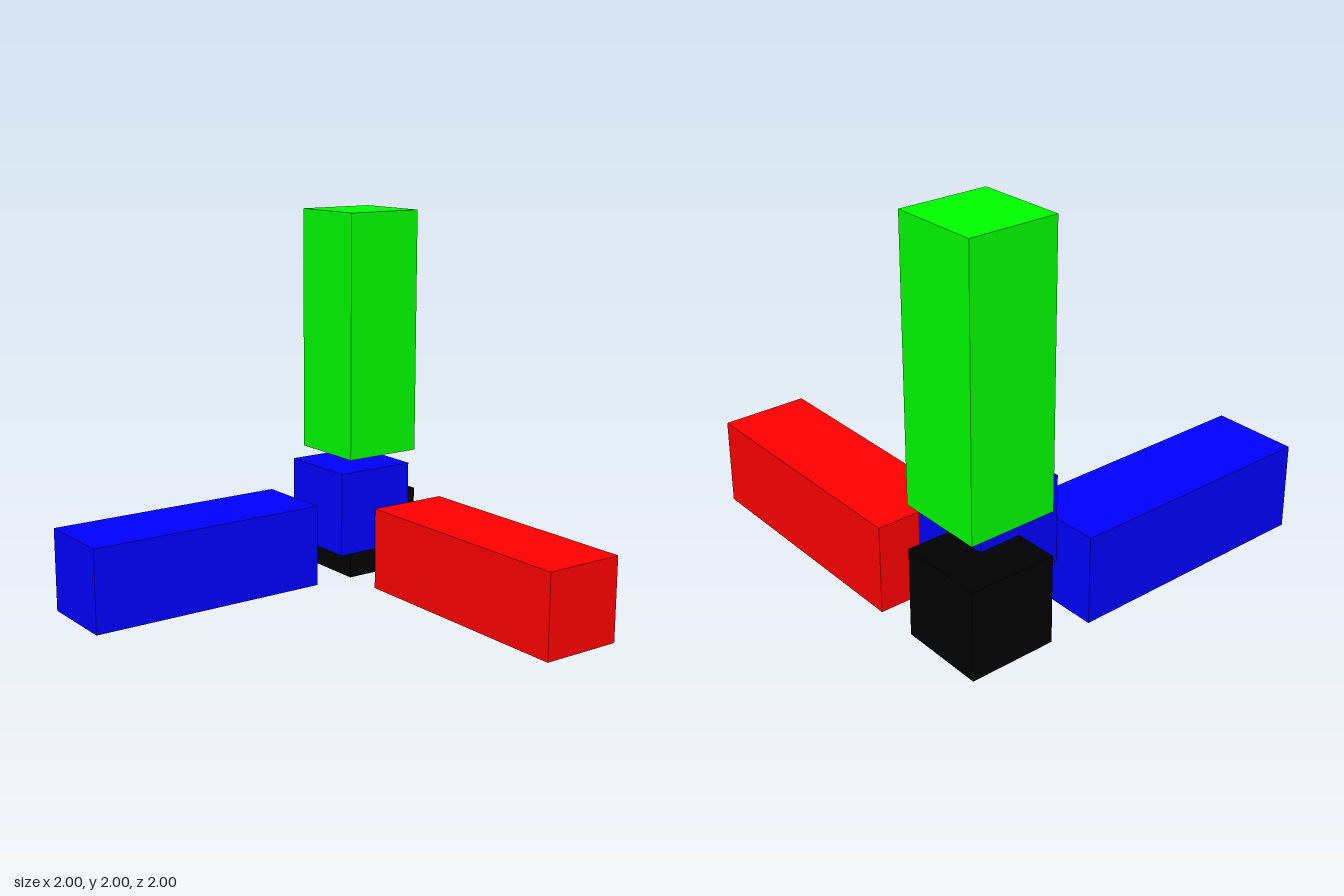
import * as THREE from 'three';

export function createModel() {
  const group = new THREE.Group();
  const u = 2 / 9; // half the width of a bar
  const w = 2 * u;
  const long = 6 * u;

  // Box placed by its minimum corner, measured from the back right bottom corner
  const addBox = (name, color, size, min) => {
    const mesh = new THREE.Mesh(
      new THREE.BoxGeometry(...size),
      new THREE.MeshStandardMaterial({ color })
    );
    mesh.name = name;
    mesh.position.set(min[0] + size[0] / 2 - 1, min[1] + size[1] / 2, min[2] + size[2] / 2 - 1);
    group.add(mesh);
  };

  // Cube at the origin corner, and the cube stepped diagonally out of it
  addBox('originCube', 0x000000, [w, w, w], [0, 0, 0]);
  addBox('diagonalCube', 0x0000ff, [w, w, w], [u, u, u]);

  // One bar along each axis, set off from the origin cube by a gap
  addBox('xAxisBar', 0xff0000, [long, w, w], [3 * u, 0, 0]);
  addBox('yAxisBar', 0x00ff00, [w, long, w], [0, 3 * u, 0]);
  addBox('zAxisBar', 0x0000ff, [w, w, long], [0, 0, 3 * u]);

  return group;
}
